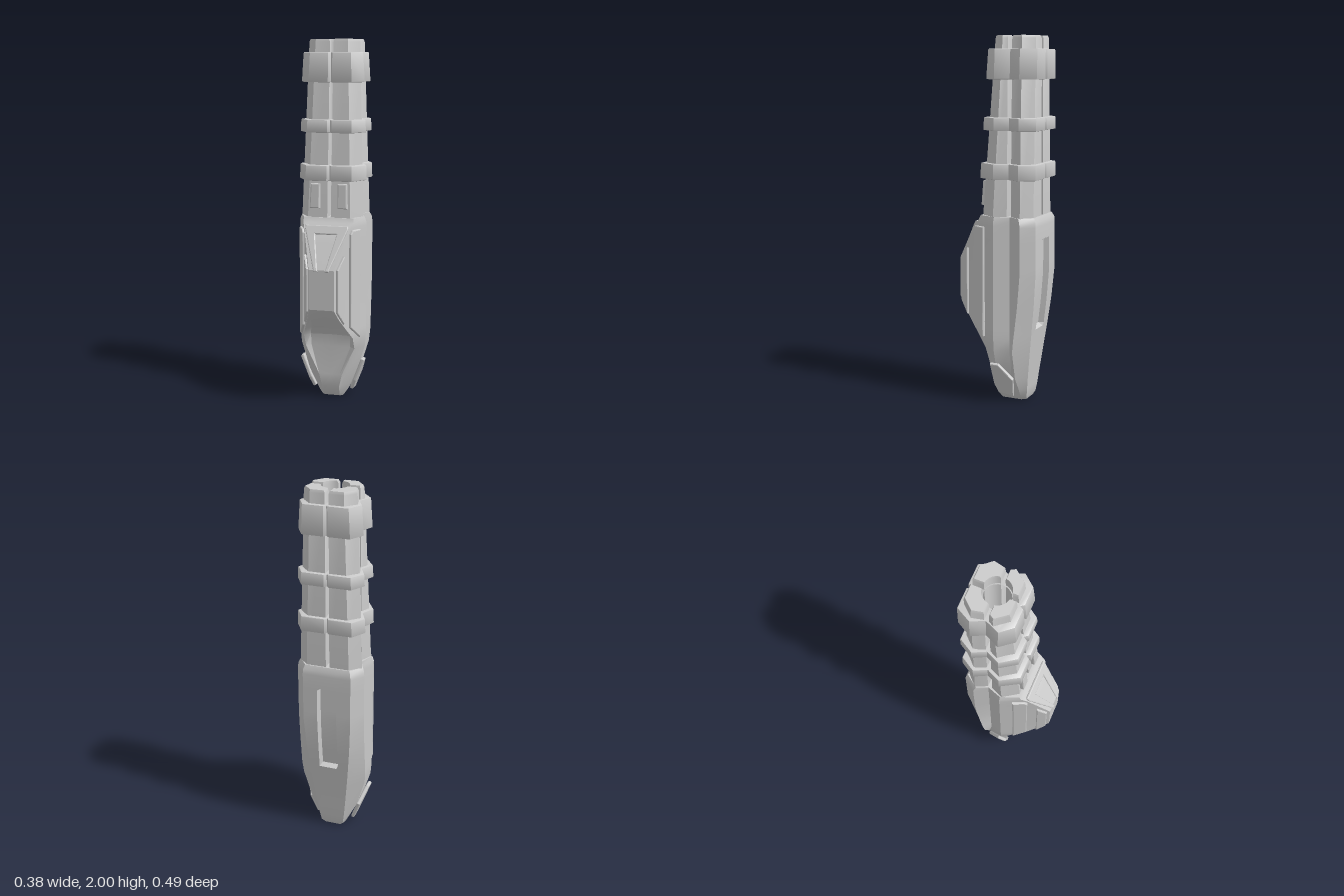
import * as THREE from 'three';
import { toCreasedNormals } from 'three/addons/utils/BufferGeometryUtils.js';

const material = new THREE.MeshStandardMaterial({ color: 0xcccccc });
const lerp = THREE.MathUtils.lerp;

// Skin a stack of rings ({ y, pts: [[x, z], ...] }, bottom to top) and cap both ends
function loft(rings, crease = 0.5) {
  const n = rings[0].pts.length;
  const pos = [];
  const flat = (r) => r.pts.map(([x, z]) => new THREE.Vector2(x, z));
  if (THREE.ShapeUtils.area(flat(rings[rings.length - 1])) < 0) {
    rings = rings.map((r) => ({ y: r.y, pts: [...r.pts].reverse() }));
  }
  const put = (r, i) => pos.push(r.pts[i % n][0], r.y, r.pts[i % n][1]);
  for (let k = 0; k < rings.length - 1; k++) {
    const a = rings[k], b = rings[k + 1];
    for (let i = 0; i < n; i++) {
      put(a, i); put(b, i); put(a, i + 1);
      put(a, i + 1); put(b, i); put(b, i + 1);
    }
  }
  for (const [r, up] of [[rings[0], false], [rings[rings.length - 1], true]]) {
    const p = flat(r);
    for (const [a, b, c] of THREE.ShapeUtils.triangulateShape(p, [])) {
      const ccw = THREE.ShapeUtils.area([p[a], p[b], p[c]]) > 0;
      for (const i of ccw === up ? [a, c, b] : [a, b, c]) put(r, i);
    }
  }
  const g = new THREE.BufferGeometry();
  g.setAttribute('position', new THREE.Float32BufferAttribute(pos, 3));
  return toCreasedNormals(g, crease);
}

// Raised plate with bevelled rim, drawn in the (u, v) plane at an origin
function plate(pts, origin, u, v, depth) {
  const shape = new THREE.Shape(pts.map(([a, b]) => new THREE.Vector2(a, b)));
  const b = 0.006;
  const g = new THREE.ExtrudeGeometry(shape, {
    depth, bevelThickness: b, bevelSize: b, bevelOffset: -b, bevelSegments: 2,
  });
  const U = new THREE.Vector3(...u).normalize();
  const V = new THREE.Vector3(...v).normalize();
  const N = new THREE.Vector3().crossVectors(U, V);
  g.applyMatrix4(new THREE.Matrix4().makeBasis(U, V, N).setPosition(...origin));
  return g;
}

// Same plate on either side: s = 1 or -1
function sidePlate(s, pts, o, u, v, depth) {
  const m = (p) => [p[0] * s, p[1], p[2]];
  return plate(pts.map(([a, b]) => [a * s, b]), m(o), m(u).map((c) => c * s), m(v), depth);
}

// Pinched double-lobe body section, with recesses in back and front faces
function bodyRing([y, zb, w, zf, df]) {
  const backX = lerp(0.045, 0.135, Math.pow((-0.155 - zb) / 0.09, 0.7));
  const frontX = Math.min(0.045 + 1.1 * y * y, 0.185 - 0.48 * zf, 0.14);
  const slot = y > 0.42 && y < 0.91 ? 0.03 : 0;
  const flankZ = Math.min(0.08, zf - 0.015);
  const flankX = lerp(w, frontX, (flankZ + 0.02) / (zf + 0.02));
  const half = [
    [Math.min(0.045, backX * 0.6), zb + slot], [Math.min(0.055, backX * 0.7), zb], [backX, zb],
    [w, zb + Math.min(0.07, w * 0.4)], [Math.min(w, 0.15), -0.1], [w, -0.02],
    [flankX, flankZ], [frontX, zf], [frontX * 0.8, zf - df],
  ];
  const mirrored = half.map(([x, z]) => [-x, z]).reverse();
  return { y, pts: [[0, zb + slot], ...half, [0, zf - df * 1.2], ...mirrored] };
}

// Quarter barrel section with a concave inner corner along the bore
function barrelPts(s, zOut, xMid, xOut, zSide, xIn, zIn) {
  const pts = [[0.01, zOut], [xMid, zOut], [xOut, zSide], [xIn, zIn]];
  const c = -0.092, r = 0.072, dir = Math.sign(zIn - c);
  const a0 = Math.asin(0.012 / r), a1 = Math.acos(0.01 / r);
  for (let i = 0; i <= 7; i++) {
    const a = lerp(a0, a1, i / 7);
    pts.push([r * Math.cos(a), c + dir * r * Math.sin(a)]);
  }
  return pts.map(([x, z]) => [x * s, z]);
}

// Band hugging all four barrels, open along the bore, narrowing upward
function band(y, h, w, zf, taper) {
  const half = [[0.012, -0.245], [w * 0.74, -0.245], [w, -0.165], [w - 0.035, -0.095],
    [w, -0.02], [w * 0.68, zf], [0.012, zf]];
  const outline = [[0, -0.228], ...half, [0, zf - 0.02],
    ...half.map(([x, z]) => [-x, z]).reverse()];
  const shape = new THREE.Shape(outline.map(([x, z]) => new THREE.Vector2(x, -z)));
  shape.holes.push(new THREE.Path().absarc(0, 0.092, 0.076, 0, Math.PI * 2, true));
  const b = 0.006;
  const g = new THREE.ExtrudeGeometry(shape, {
    depth: h - 2 * b, bevelThickness: b, bevelSize: b, bevelOffset: -b,
    bevelSegments: 2, curveSegments: 10,
  });
  g.rotateX(-Math.PI / 2).translate(0, y + b, 0);
  const p = g.attributes.position;
  for (let i = 0; i < p.count; i++) {
    const k = 1 - taper * (p.getY(i) - y) / h;
    p.setX(i, p.getX(i) * k);
    if (p.getZ(i) > 0) p.setZ(i, p.getZ(i) * (1 - (1 - k) * 3));
  }
  return toCreasedNormals(g, 0.5);
}

export function createModel() {
  const group = new THREE.Group();
  const add = (name, geo) => {
    const mesh = new THREE.Mesh(geo, material);
    mesh.name = name;
    group.add(mesh);
  };

  // Body rows: y, back z, half width, front z, front recess depth
  add('body', loft([
    [0, -0.155, 0.06, -0.005, 0],
    [0.02, -0.165, 0.075, 0.015, 0],
    [0.07, -0.172, 0.1, 0.04, 0],
    [0.14, -0.18, 0.135, 0.044, 0],
    [0.3, -0.2, 0.184, 0.05, 0.02],
    [0.37, -0.209, 0.19, 0.09, 0.045],
    [0.41, -0.214, 0.19, 0.125, 0.045],
    [0.425, -0.216, 0.19, 0.138, 0.042],
    [0.5, -0.225, 0.19, 0.2, 0.012],
    [0.56, -0.232, 0.19, 0.24, 0],
    [0.72, -0.245, 0.19, 0.24, 0],
    [0.78, -0.245, 0.19, 0.24, 0],
    [0.9, -0.245, 0.19, 0.171, 0],
    [0.915, -0.245, 0.19, 0.162, 0],
    [0.99, -0.245, 0.19, 0.118, 0],
    [1.015, -0.243, 0.188, 0.09, 0],
    [1.04, -0.232, 0.178, 0.078, 0],
  ].map(bodyRing)));

  // Four tapering barrels around the central bore: lower and upper sections
  const barrels = {
    front: [[0.075, 0.12, 0.176, -0.01, 0.145, -0.08], [0.01, 0.09, 0.142, -0.055, 0.128, -0.08]],
    back: [[-0.225, 0.12, 0.176, -0.17, 0.145, -0.104], [-0.222, 0.09, 0.142, -0.165, 0.128, -0.104]],
  };
  for (const s of [1, -1]) {
    const side = s > 0 ? 'Left' : 'Right';
    for (const [name, [low, high]] of Object.entries(barrels)) {
      const a = barrelPts(s, ...low), b = barrelPts(s, ...high);
      const cx = 0.075 * s, cz = name === 'front' ? -0.035 : -0.16;
      const rim = b.map(([x, z]) => [lerp(x, cx, 0.1), lerp(z, cz, 0.1)]);
      add(name + side + 'Barrel', loft([
        { y: 1.0, pts: a }, { y: 1.985, pts: b }, { y: 2, pts: rim },
      ], 0.6));
    }

    // Small block low on the front of each barrel
    add('barrelBlock' + side, sidePlate(s,
      [[0.05, 0], [0.105, 0], [0.1, 0.135], [0.05, 0.135]],
      [0, 1.09, 0.068], [1, 0, 0], [0, 1, -0.065], 0.018));

    // Long outer and shorter inner panels on the sloping flanks
    const flank = (pts) => sidePlate(s, pts.map(([z, y]) => [(0.08 - z) / 0.901, y]),
      [0.144, 0, 0.08], [0.433, 0, -0.901], [0, 1, 0], 0.009);
    add('outerPanel' + side, flank([[0.045, 0.37], [0.045, 0.98], [0.105, 0.98], [0.12, 0.96], [0.12, 0.44]]));
    add('innerPanel' + side, flank([[0.17, 0.47], [0.17, 0.85], [0.222, 0.78], [0.222, 0.545]]));

    // Angular pad near the foot
    add('footPad' + side, sidePlate(s,
      [[-0.005, 0.21], [0.045, 0.21], [0.12, 0.118], [0.105, 0.005], [0.02, 0.015], [0, 0.075]],
      [0.098, 0.03, 0], [0, 0, -1], [0.351, 0.936, 0], 0.009));
  }

  // Clamping bands
  add('lowerBand', band(1.24, 0.085, 0.19, 0.085, 0.02));
  add('middleBand', band(1.5, 0.07, 0.184, 0.068, 0.02));
  add('upperBand', band(1.77, 0.16, 0.176, 0.052, 0.06));

  // Forked frame on the upper front slope
  const fork = [[0.12, 1.0], [0.12, 0.98], [0.042, 0.77], [0.02, 0.77], [0.06, 0.955]];
  add('frontFrame', plate(
    [...fork, ...fork.map(([x, y]) => [-x, y]).reverse()].map(([x, y]) => [x, (y - 0.78) / 0.867]),
    [0, 0.78, 0.236], [1, 0, 0], [0, 0.867, -0.498], 0.005));

  return group;
}
